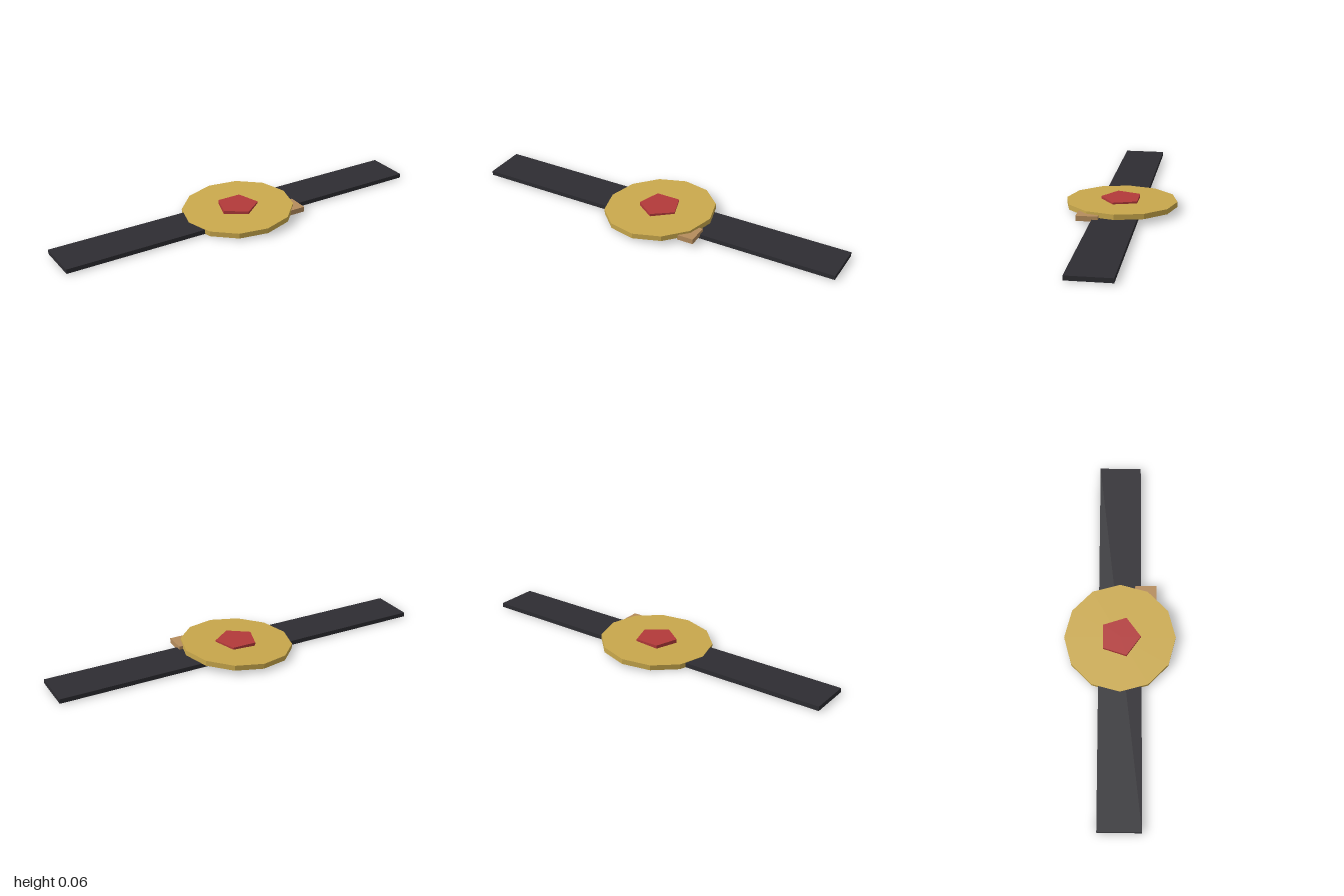
import * as THREE from 'three';

export function createModel() {
  const group = new THREE.Group();

  const addPart = (name, geometry, color, x, y, z) => {
    const material = new THREE.MeshStandardMaterial({ color, flatShading: true });
    const mesh = new THREE.Mesh(geometry, material);
    mesh.name = name;
    mesh.position.set(x, y, z);
    group.add(mesh);
    return mesh;
  };

  // Long flat band lying on the ground
  addPart('strap', new THREE.BoxGeometry(2, 0.023, 0.222), 0x2e2d32, 0, 0.0145, 0);

  // Twelve-sided plate, tipped slightly up towards +x
  const plate = addPart('plate', new THREE.CylinderGeometry(0.289, 0.289, 0.027, 12), 0xc9a84c, 0, 0.0287, 0);
  plate.rotation.z = THREE.MathUtils.degToRad(3);

  // Level five-sided gem set into the plate, one point to the front
  addPart('gem', new THREE.CylinderGeometry(0.108, 0.108, 0.028, 5), 0xb33a3a, 0, 0.042, 0);

  // Small block under the rim
  addPart('clasp', new THREE.BoxGeometry(0.086, 0.027, 0.111), 0xb58c5c, 0.245, 0.0295, 0.135);

  return group;
}
